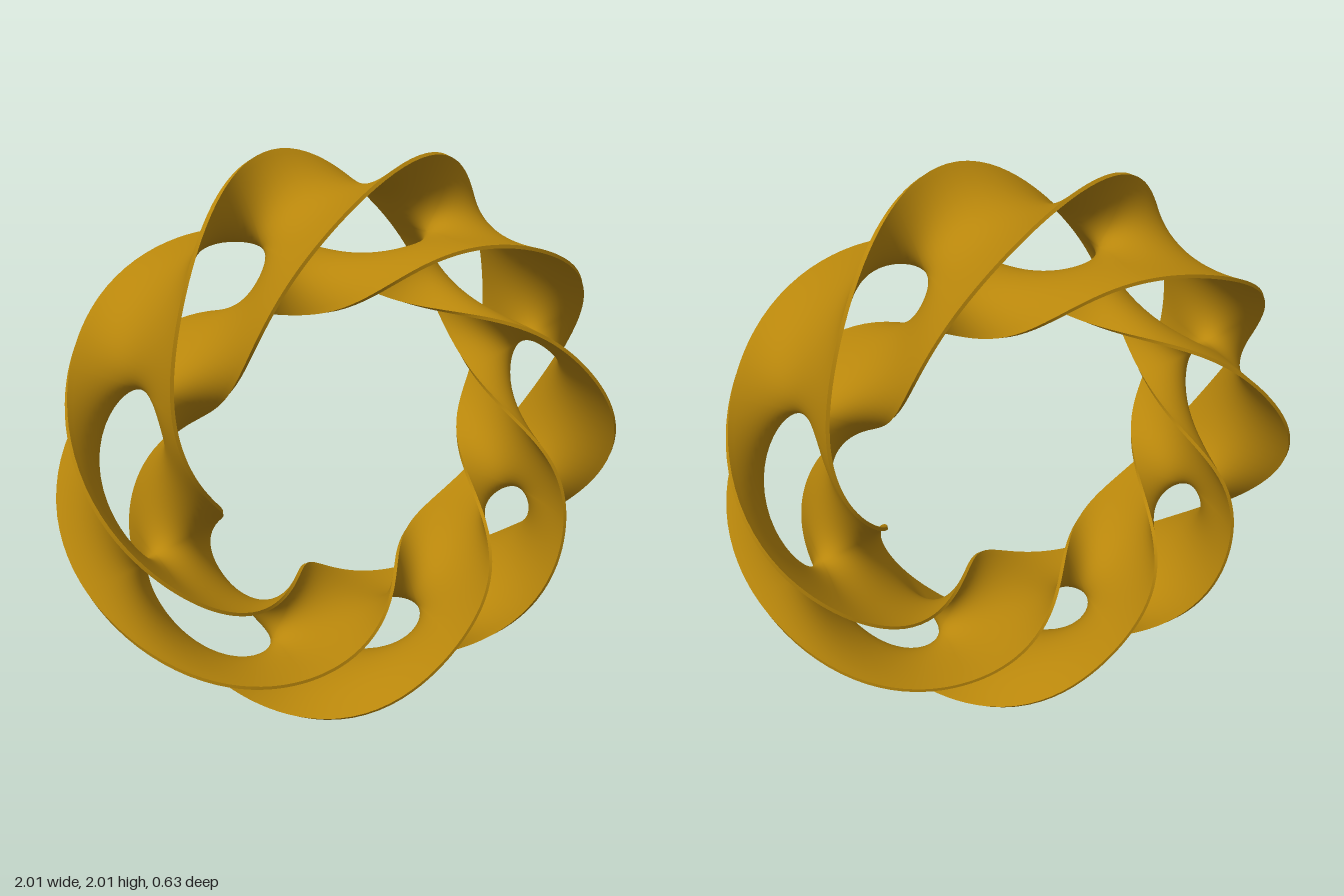
import * as THREE from 'three';
import { mergeVertices } from 'three/addons/utils/BufferGeometryUtils.js';

const RING = 0.78;          // ring radius to the core line
const HALF = 0.006;         // half thickness of the sheet
const STEPS = 28, ACROSS = 36;
const DEG = Math.PI / 180;

// Rim of a wing: offset (radial, z) for twist angle p at ring angle a
function wingTip(p, a) {
  const swell = 1 + 0.09 * Math.cos(4 * a);
  return [
    (0.24 * Math.cos(p) + 0.0145 * Math.cos(3 * p)) * swell,
    0.341 * Math.sin(p) + 0.026 * Math.sin(3 * p),
  ];
}

// Point on a saddle sheet: v runs from one wing rim (-1) to the next (+1)
function sheetPoint(segment, inner, w, v) {
  const s = 22.5 * DEG * Math.sin(w * Math.PI / 2);
  const a = segment * 45 * DEG + s;
  const base = 2 * s + (inner ? Math.PI : 0);
  const t1 = wingTip(base - Math.PI / 4, a);
  const t2 = wingTip(base + Math.PI / 4, a);
  // the gap closes to a crossing at both ends of the segment
  const open = (0.37 - 0.04 * Math.cos(4 * a)) * Math.sqrt(Math.max(0, Math.cos(4 * s)));
  const d = 1 - 2 * open;
  const e = (1 - d * d) / (2 * d);
  const t = 0.4 * v + 0.6 * v * Math.abs(v);
  const g = (Math.sqrt(t * t + e * e) - Math.sqrt(1 + e * e) + 1) / 2;
  const k1 = g - t / 2, k2 = g + t / 2;
  const r = RING + k1 * t1[0] + k2 * t2[0];
  return [r * Math.cos(a), 1 + r * Math.sin(a), k1 * t1[1] + k2 * t2[1]];
}

// All sheets joined into one smooth surface
function middleSurface() {
  const pos = [], index = [];
  for (let seg = 0; seg < 8; seg++) {
    for (const inner of [false, true]) {
      const start = pos.length / 3;
      for (let i = 0; i <= STEPS; i++)
        for (let j = 0; j <= ACROSS; j++)
          pos.push(...sheetPoint(seg, inner, -1 + 2 * i / STEPS, -1 + 2 * j / ACROSS));
      for (let i = 0; i < STEPS; i++)
        for (let j = 0; j < ACROSS; j++) {
          const a = start + i * (ACROSS + 1) + j, b = a + 1;
          const c = a + ACROSS + 1, e = c + 1;
          // neighbouring segments face opposite ways, so the saddles join
          if (seg % 2) index.push(a, c, b, b, c, e);
          else index.push(a, b, c, b, e, c);
        }
    }
  }
  const geo = new THREE.BufferGeometry();
  geo.setAttribute('position', new THREE.Float32BufferAttribute(pos, 3));
  geo.setIndex(index);
  const merged = mergeVertices(geo, 1e-4);
  merged.computeVertexNormals();
  return merged;
}

// One face of the sheet, moved along its normals
function offsetFace(middle, side) {
  const geo = middle.clone();
  const p = geo.attributes.position, n = geo.attributes.normal;
  for (let i = 0; i < p.count; i++) {
    p.setXYZ(i, p.getX(i) + side * HALF * n.getX(i),
      p.getY(i) + side * HALF * n.getY(i), p.getZ(i) + side * HALF * n.getZ(i));
  }
  if (side < 0) {
    const idx = geo.index.array;
    for (let i = 0; i < idx.length; i += 3) [idx[i], idx[i + 1]] = [idx[i + 1], idx[i]];
    geo.computeVertexNormals();
  }
  return geo;
}

// Narrow strip along every open edge of the sheet
function rimStrip(front, back) {
  const idx = front.index.array, n = front.attributes.position.count;
  const edges = new Map();
  for (let i = 0; i < idx.length; i += 3)
    for (let k = 0; k < 3; k++) {
      const a = idx[i + k], b = idx[i + (k + 1) % 3];
      const key = Math.min(a, b) * n + Math.max(a, b);
      if (edges.has(key)) edges.set(key, null);
      else edges.set(key, [a, b]);
    }
  const pos = [];
  const add = (geo, i) => pos.push(...new THREE.Vector3().fromBufferAttribute(geo.attributes.position, i));
  for (const edge of edges.values()) {
    if (!edge) continue;
    const [a, b] = edge;
    add(front, b); add(front, a); add(back, a);
    add(front, b); add(back, a); add(back, b);
  }
  const geo = new THREE.BufferGeometry();
  geo.setAttribute('position', new THREE.Float32BufferAttribute(pos, 3));
  const smooth = mergeVertices(geo, 1e-5);
  smooth.computeVertexNormals();
  return smooth;
}

export function createModel() {
  const group = new THREE.Group();
  group.name = 'twistedSaddleRing';
  const material = new THREE.MeshStandardMaterial({ color: 0xb8860b, side: THREE.DoubleSide });
  const middle = middleSurface();
  const front = offsetFace(middle, 1), back = offsetFace(middle, -1);
  const parts = { sheetFace: front, sheetReverse: back, sheetRim: rimStrip(front, back) };
  for (const [name, geo] of Object.entries(parts)) {
    const mesh = new THREE.Mesh(geo, material);
    mesh.name = name;
    group.add(mesh);
  }
  return group;
}
